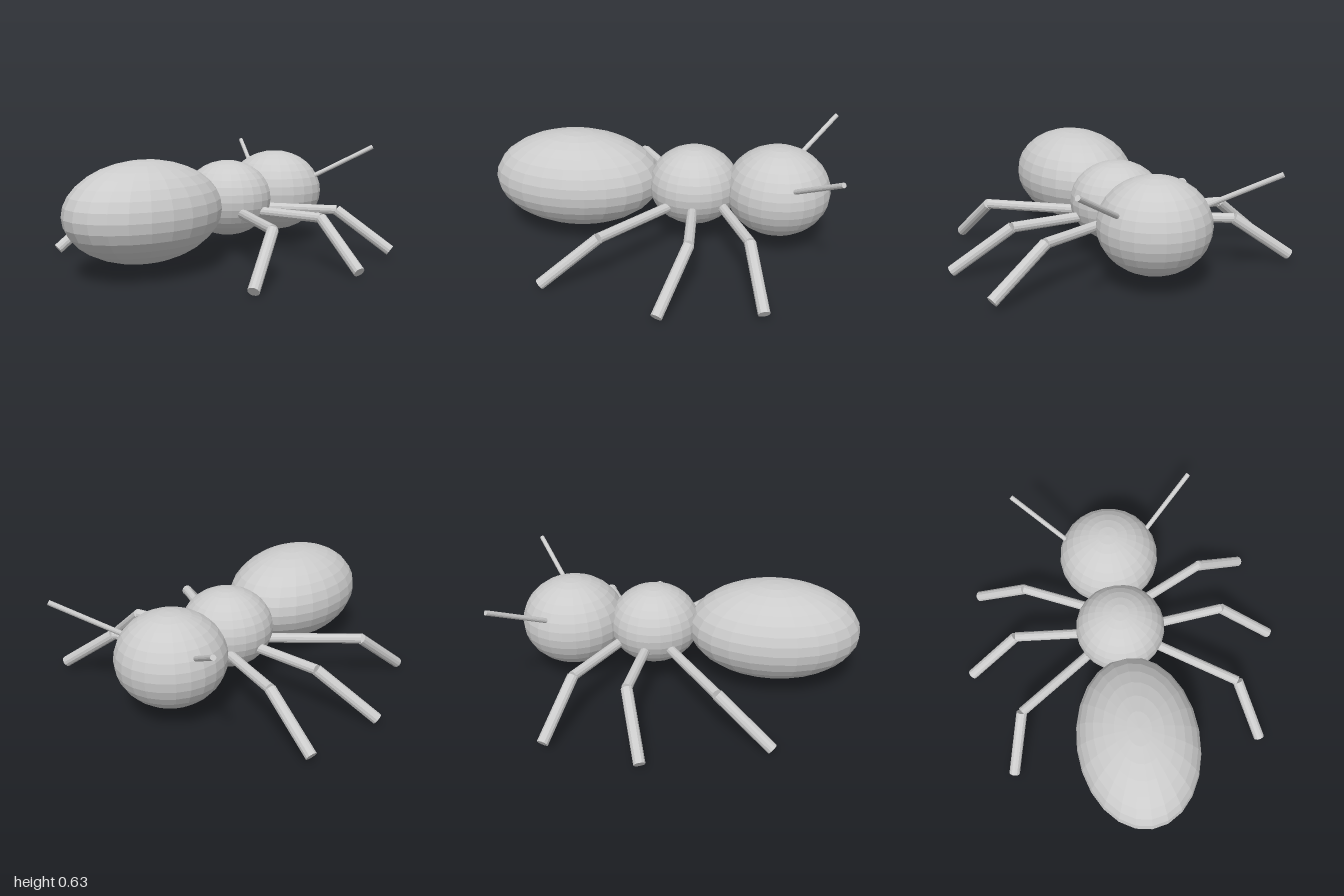
import * as THREE from 'three';

const material = new THREE.MeshStandardMaterial({ color: 0xcccccc, flatShading: true });

// Faceted ellipsoid for a body section
function ellipsoid(name, z, rx, ry, rz) {
  const mesh = new THREE.Mesh(new THREE.SphereGeometry(1, 24, 16).scale(rx, ry, rz), material);
  mesh.position.set(0, 0.335, z);
  mesh.name = name;
  return mesh;
}

// Straight rod between two points
function rod(name, from, to, radius) {
  const a = new THREE.Vector3(...from);
  const b = new THREE.Vector3(...to);
  const dir = b.clone().sub(a);
  const mesh = new THREE.Mesh(new THREE.CylinderGeometry(radius, radius, dir.length(), 12), material);
  mesh.position.copy(a).add(b).multiplyScalar(0.5);
  mesh.quaternion.setFromUnitVectors(new THREE.Vector3(0, 1, 0), dir.normalize());
  mesh.name = name;
  return mesh;
}

export function createModel() {
  const model = new THREE.Group();
  model.name = 'ant';

  // Body sections
  model.add(
    ellipsoid('abdomen', 0.503, 0.347, 0.275, 0.492),
    ellipsoid('thorax', -0.19, 0.262, 0.225, 0.26),
    ellipsoid('head', -0.67, 0.297, 0.255, 0.297)
  );

  // Hip, knee and foot of each leg on the +x side
  const legs = {
    frontLeg: [[0.13, 0.27, -0.36], [0.54, 0.27, -0.555], [0.845, 0.05, -0.655]],
    middleLeg: [[0.2, 0.27, -0.21], [0.625, 0.27, -0.25], [0.935, 0.03, -0.14]],
    hindLeg: [[0.16, 0.27, -0.105], [0.635, 0.27, 0.22], [0.74, 0.027, 0.515]]
  };

  for (const [side, s] of [['left', 1], ['right', -1]]) {
    const flip = ([x, y, z]) => [x * s, y, z];

    for (const [name, points] of Object.entries(legs)) {
      const [hip, knee, foot] = points.map(flip);
      const leg = new THREE.Group();
      leg.name = `${side} ${name}`;
      leg.add(rod('upperLeg', hip, knee, 0.028), rod('lowerLeg', knee, foot, 0.031));
      model.add(leg);
    }

    // Antenna, rooted in the head
    model.add(rod(`${side} antenna`, flip([0.235, 0.43, -0.758]), flip([0.53, 0.62, -0.99]), 0.014));
  }
  return model;
}
